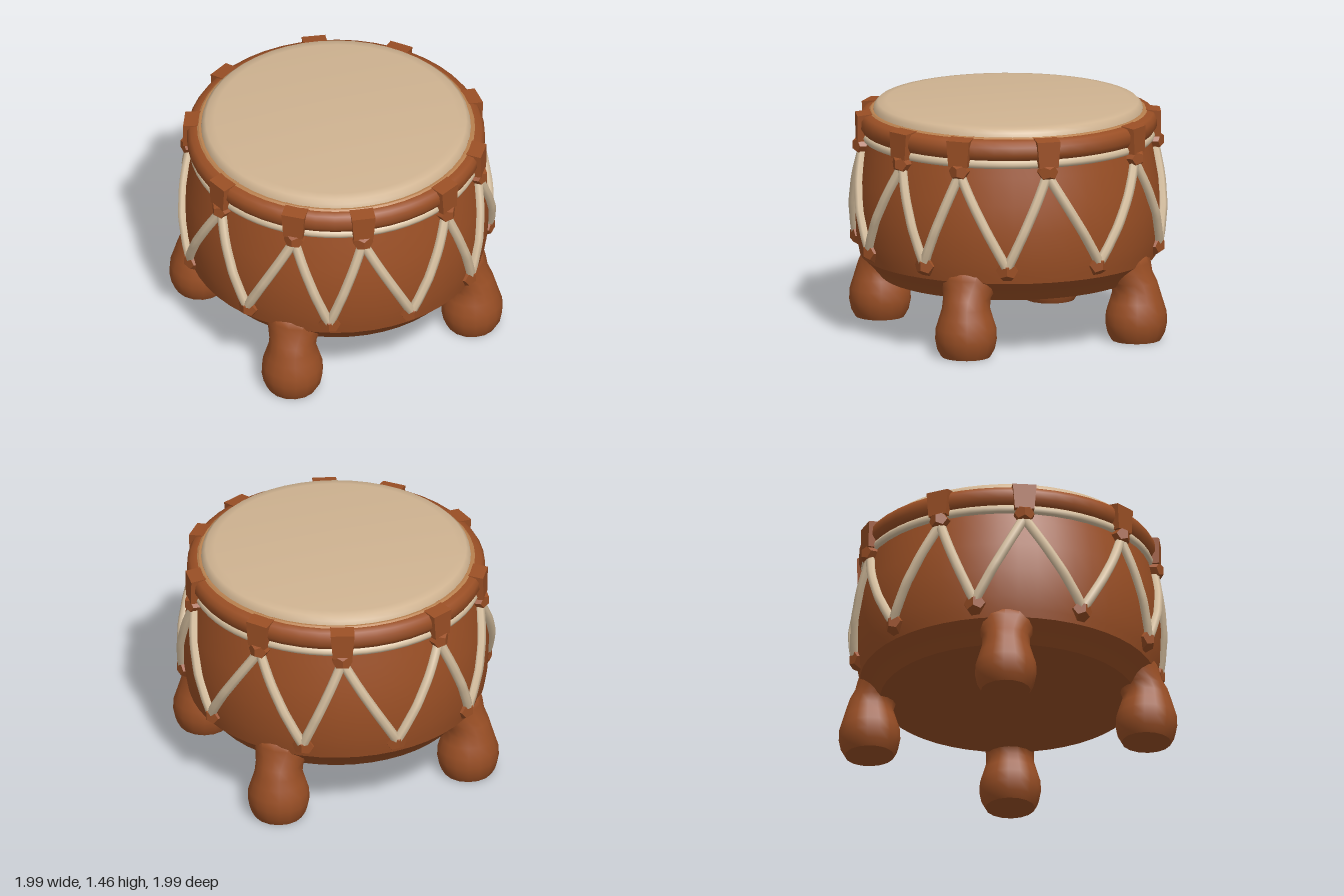
import * as THREE from 'three';
import { toCreasedNormals } from 'three/addons/utils/BufferGeometryUtils.js';

const material = (name, color) => Object.assign(new THREE.MeshStandardMaterial({ color }), { name });
const wood = material('brown wood', 0x9a4f25);
const skin = material('drum skin', 0xcfb391);
const cord = material('pale cord', 0xd6bf9f);
const worn = material('worn edge', 0xb9814f);

const outline = [[0.8, 0.35], [0.86, 0.42], [0.925, 0.48], [0.935, 0.53], [0.95, 0.62],
  [0.957, 0.8], [0.94, 0.98], [0.905, 1.15], [0.88, 1.27]];

// Shell radius at a given height
function shellRadius(y) {
  for (let i = 1; i < outline.length; i++) {
    const [r0, y0] = outline[i - 1], [r1, y1] = outline[i];
    if (y <= y1) return r0 + (r1 - r0) * (y - y0) / (y1 - y0);
  }
  return 0.88;
}

// Angle is measured in degrees from the front (+z) towards +x
function around(deg, radius, y) {
  const a = THREE.MathUtils.degToRad(deg);
  return new THREE.Vector3(Math.sin(a) * radius, y, Math.cos(a) * radius);
}

function lathe(points, segments, crease = 0.6) {
  const g = new THREE.LatheGeometry(points.map(([r, y]) => new THREE.Vector2(r, y)), segments);
  return toCreasedNormals(g, crease);
}

export function createModel() {
  const drum = new THREE.Group();
  drum.name = 'drum';
  const add = (name, geometry, mat) => {
    const mesh = new THREE.Mesh(geometry, mat);
    mesh.name = name;
    drum.add(mesh);
    return mesh;
  };

  // Barrel, rim and stretched skin
  add('shell', lathe([[0, 0.35], ...outline], 48), wood);
  add('rim', lathe([[0.86, 1.25], [0.91, 1.265], [0.932, 1.3], [0.93, 1.35],
    [0.91, 1.38], [0.87, 1.392], [0.82, 1.385]], 48, 1), wood);
  add('wornEdge', lathe([[0.872, 1.39], [0.858, 1.4], [0.83, 1.398]], 48), worn);
  add('drumSkin', lathe([[0.848, 1.375], [0.838, 1.425], [0.815, 1.447], [0.76, 1.455], [0, 1.455]], 48, 1), skin);

  // Cord running under the rim
  const hoop = new THREE.TorusGeometry(0.888, 0.03, 8, 64);
  hoop.rotateX(Math.PI / 2);
  add('rimCord', hoop, cord).position.y = 1.237;

  // Lacing anchor angles, mirrored from one side to the other
  const halfTop = [19, 46, 81, 125, 159];
  const halfBottom = [32, 65, 102, 144];
  const top = [...halfTop, ...halfTop.map(a => 360 - a).reverse()];
  const bottom = [0, ...halfBottom, 180, ...halfBottom.map(a => 360 - a).reverse(), 360];

  function knot(name, deg, radius, y, size) {
    const mesh = add(name, new THREE.DodecahedronGeometry(size), wood);
    mesh.position.copy(around(deg, radius, y));
    mesh.rotation.y = THREE.MathUtils.degToRad(deg);
  }

  function lace(fromDeg, toDeg) {
    const points = [];
    for (let i = 0; i <= 8; i++) {
      const t = i / 8, y = 1.17 - 0.59 * t;
      points.push(around(fromDeg + (toDeg - fromDeg) * t, shellRadius(y) + 0.012, y));
    }
    add('lace', new THREE.TubeGeometry(new THREE.CatmullRomCurve3(points), 16, 0.032, 7), cord);
  }

  top.forEach((deg, i) => {
    // Strap folded over the rim, narrower towards its knot
    const strap = new THREE.BoxGeometry(0.15, 0.18, 0.12);
    const p = strap.attributes.position;
    for (let k = 0; k < p.count; k++) {
      if (p.getY(k) < 0) p.setX(k, p.getX(k) * 0.82);
      else if (p.getZ(k) > 0) p.setY(k, 0.075);
    }
    strap.computeVertexNormals();
    const mesh = add('rimStrap', strap, wood);
    mesh.position.copy(around(deg, 0.893, 1.31));
    mesh.rotation.y = THREE.MathUtils.degToRad(deg);

    knot('upperKnot', deg, 0.912, 1.19, 0.068);
    lace(deg, bottom[i]);
    lace(deg, bottom[i + 1]);
  });
  bottom.slice(0, -1).forEach(deg => knot('lowerKnot', deg, 0.927, 0.57, 0.073));

  // Bulbous feet whose shoulders lean inward into the shell
  const legProfile = [[0, 0], [0.155, 0], [0.18, 0.045], [0.193, 0.11], [0.19, 0.18], [0.168, 0.25],
    [0.15, 0.31], [0.15, 0.37], [0.175, 0.43], [0.22, 0.49], [0.245, 0.53], [0.2, 0.57], [0, 0.58]];
  for (const sx of [-1, 1]) for (const sz of [-1, 1]) {
    const g = new THREE.LatheGeometry(legProfile.map(([r, y]) => new THREE.Vector2(r, y)), 16);
    const p = g.attributes.position;
    for (let k = 0; k < p.count; k++) {
      const lean = Math.max(0, p.getY(k) - 0.35) * 0.7;
      p.setX(k, p.getX(k) - sx * lean);
      p.setZ(k, p.getZ(k) - sz * lean);
    }
    add('leg', toCreasedNormals(g, 0.8), wood).position.set(sx * 0.645, 0, sz * 0.585);
  }
  return drum;
}
